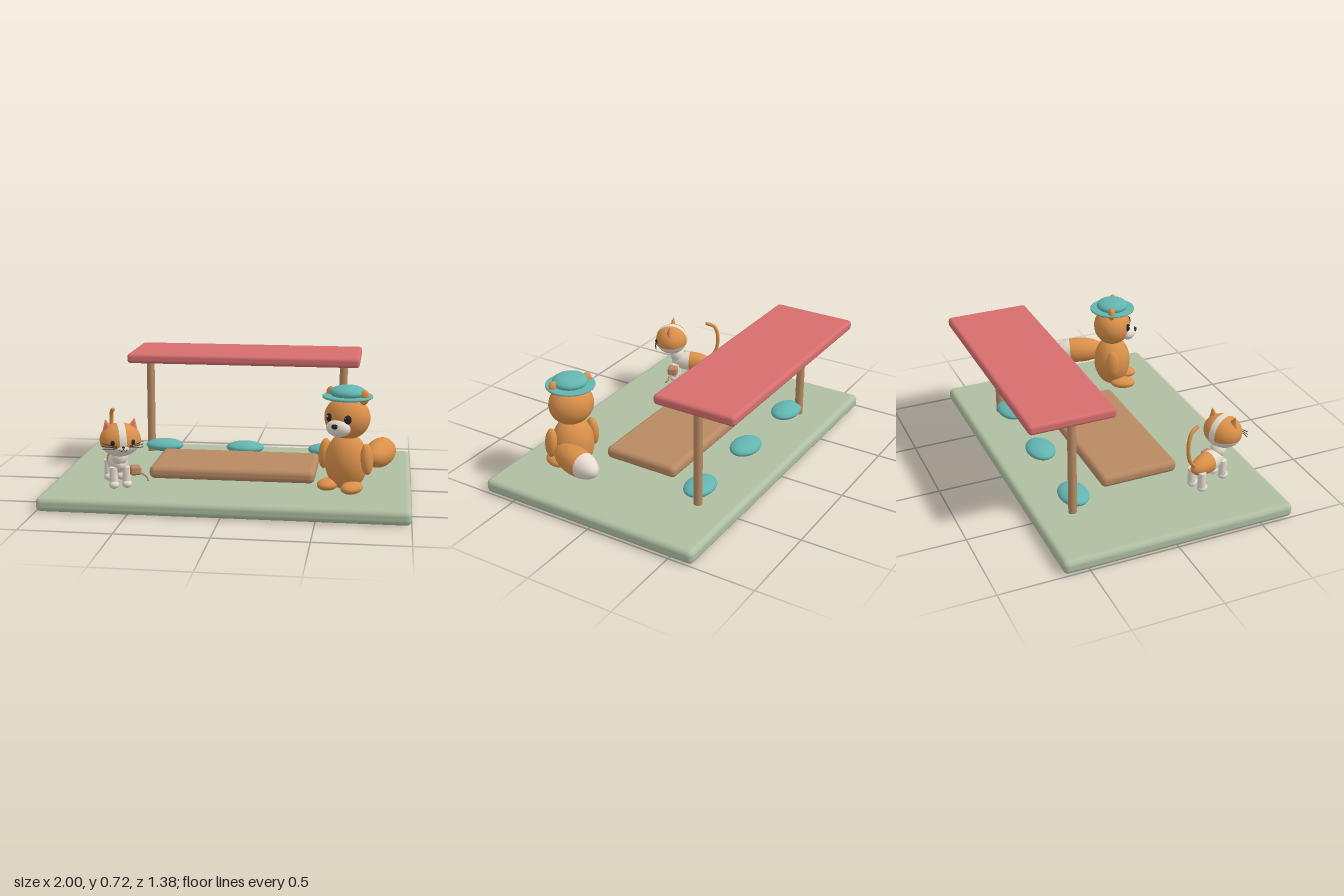
import * as THREE from 'three';
import { RoundedBoxGeometry } from 'three/addons/geometries/RoundedBoxGeometry.js';

const paint = (name, color) => {
  const m = new THREE.MeshStandardMaterial({ color });
  m.name = name;
  return m;
};

export function createModel() {
  const sage = paint('sage', 0xafbfa2), red = paint('red', 0xd66e6e), wood = paint('wood', 0xb98a63);
  const teal = paint('teal', 0x62b5b0), orange = paint('orange', 0xda9049);
  const cream = paint('cream', 0xe5dccf), dark = paint('dark', 0x25252b);

  const add = (parent, name, geo, mat, pos = [0, 0, 0], rot = [0, 0, 0]) => {
    const m = new THREE.Mesh(geo, mat);
    m.name = name;
    m.position.set(...pos);
    m.rotation.set(...rot);
    parent.add(m);
    return m;
  };
  const slab = (parent, name, mat, size, r, pos, rot) =>
    add(parent, name, new RoundedBoxGeometry(...size, 4, r), mat, pos, rot);
  // Ellipsoid, optionally cut between two polar angles
  const ball = (parent, name, mat, pos, radii, rot, t0 = 0, t1 = Math.PI) => {
    const m = add(parent, name, new THREE.SphereGeometry(1, 32, 20, 0, Math.PI * 2, t0, t1 - t0), mat, pos, rot);
    m.scale.set(...radii);
    return m;
  };
  const tube = (parent, name, mat, pts, r) => {
    const path = new THREE.CatmullRomCurve3(pts.map(p => new THREE.Vector3(...p)));
    add(parent, name, new THREE.TubeGeometry(path, 28, r, 10), mat);
    for (const p of [pts[0], pts[pts.length - 1]]) ball(parent, name + 'End', mat, p, [r, r, r]);
  };
  const group = (parent, name, pos, yaw) => {
    const g = new THREE.Group();
    g.name = name;
    g.position.set(...pos);
    g.rotation.y = yaw;
    parent.add(g);
    return g;
  };

  const model = new THREE.Group();
  model.name = 'picnicScene';

  // Ground, table and shelter
  slab(model, 'ground', sage, [2, 0.08, 1.33], 0.03, [0, 0.04, 0.025]);
  slab(model, 'lowTable', wood, [0.935, 0.073, 0.455], 0.03, [0, 0.122, 0.025]);
  slab(model, 'roof', red, [1.38, 0.058, 0.48], 0.02, [0, 0.691, -0.455]);
  for (const s of [-1, 1]) {
    add(model, 'post', new THREE.CylinderGeometry(0.024, 0.024, 0.57, 24), wood, [s * 0.59, 0.363, -0.43]);
  }
  for (const x of [-0.5, 0, 0.5]) ball(model, 'cushion', teal, [x, 0.13, -0.39], [0.115, 0.037, 0.082]);

  // Cat
  const cat = group(model, 'cat', [-0.608, 0, 0.392], 0.4);
  const along = [Math.PI / 2, 0, 0];
  ball(cat, 'catChest', cream, [0, 0.215, -0.04], [0.055, 0.125, 0.06], along, 0, 1.5);
  ball(cat, 'catRump', orange, [0, 0.215, -0.04], [0.055, 0.125, 0.06], along, 1.5, Math.PI);
  ball(cat, 'catNeck', cream, [0, 0.26, 0.05], [0.045, 0.05, 0.045]);
  for (const s of [-1, 1]) for (const z of [-0.125, 0.055]) {
    add(cat, 'catLeg', new THREE.CylinderGeometry(0.022, 0.023, 0.1, 16), cream, [s * 0.036, 0.152, z]);
    ball(cat, 'catPaw', cream, [s * 0.036, 0.105, z + 0.006], [0.027, 0.023, 0.031]);
  }
  tube(cat, 'catTail', orange,
    [[0, 0.23, -0.145], [0, 0.3, -0.195], [0, 0.4, -0.208], [0, 0.465, -0.185], [0, 0.482, -0.14]], 0.011);

  // Cat head: coloured cap, pale jaw and a pale stripe over the crown
  const head = group(cat, 'catHead', [0, 0.363, 0.085], 0);
  ball(head, 'catCap', orange, [0, 0, 0], [0.112, 0.092, 0.098], [0, 0, 0], 0, 1.87);
  ball(head, 'catJaw', cream, [0, 0, 0], [0.112, 0.092, 0.098], [0, 0, 0], 1.87, Math.PI);
  const band = new THREE.SphereGeometry(1, 40, 4, 1.27, 3.75, Math.PI / 2 - 0.17, 0.34);
  band.rotateZ(Math.PI / 2);
  band.scale(0.114, 0.094, 0.1);
  add(head, 'catStripe', band, cream);
  ball(head, 'catMuzzle', cream, [0, -0.034, 0.083], [0.034, 0.02, 0.02]);
  ball(head, 'catNose', dark, [0, -0.022, 0.102], [0.009, 0.006, 0.006]);
  for (const s of [-1, 1]) {
    const ear = group(head, 'catEar', [s * 0.072, 0.082, 0], 0);
    ear.rotation.z = -s * 0.25;
    const outer = add(ear, 'earOuter', new THREE.ConeGeometry(0.036, 0.07, 20), orange);
    outer.scale.z = 0.5;
    const inner = add(ear, 'earInner', new THREE.ConeGeometry(0.026, 0.052, 20), red, [0, -0.004, 0.008]);
    inner.scale.z = 0.5;
    ball(head, 'catEye', dark, [s * 0.055, 0, 0.084], [0.012, 0.015, 0.007], [0, s * 0.45, 0]);
    tube(head, 'catMouth', dark, [[0, -0.03, 0.103], [s * 0.01, -0.043, 0.099], [s * 0.021, -0.037, 0.098]], 0.002);
    for (const k of [-1, 0, 1]) {
      tube(head, 'whisker', dark,
        [[s * 0.035, -0.022 + k * 0.006, 0.094], [s * 0.075, -0.018 + k * 0.011, 0.092], [s * 0.11, -0.014 + k * 0.016, 0.08]], 0.0017);
    }
  }

  // Satchel at the cat's side with a loose strap
  slab(cat, 'satchel', wood, [0.062, 0.052, 0.062], 0.015, [0.082, 0.181, 0.065]);
  tube(cat, 'satchelStrap', wood, [[0.1, 0.165, 0.07], [0.125, 0.158, 0.08], [0.145, 0.138, 0.088], [0.148, 0.126, 0.1]], 0.005);

  // Round animal with a sun hat
  const friend = group(model, 'hatAnimal', [0.645, 0, 0.342], -0.45);
  ball(friend, 'body', orange, [0, 0.25, 0], [0.118, 0.158, 0.112]);
  ball(friend, 'head', orange, [0, 0.493, 0], [0.127, 0.117, 0.113]);
  ball(friend, 'muzzle', cream, [0, 0.452, 0.098], [0.07, 0.047, 0.047]);
  ball(friend, 'nose', dark, [0, 0.467, 0.141], [0.018, 0.014, 0.012]);
  for (const s of [-1, 1]) {
    ball(friend, 'eye', dark, [s * 0.056, 0.503, 0.098], [0.02, 0.024, 0.014], [0, s * 0.45, 0]);
    ball(friend, 'eyeGlint', cream, [s * 0.056 - 0.006, 0.512, 0.109], [0.004, 0.004, 0.004]);
    ball(friend, 'ear', orange, [s * 0.098, 0.612, 0], [0.03, 0.041, 0.022], [0, 0, -s * 0.2]);
    ball(friend, 'arm', orange, [s * 0.128, 0.28, 0.01], [0.032, 0.085, 0.042], [0, 0, s * 0.08]);
    ball(friend, 'foot', orange, [s * 0.072, 0.128, 0.07], [0.054, 0.033, 0.078]);
  }

  // Bushy tail with a pale tip, pointing backwards
  const tail = group(model, 'bushyTail', [0.825, 0.267, 0.187], -0.28);
  const back = [-Math.PI / 2, 0, 0];
  ball(tail, 'tailTip', cream, [0, 0, 0], [0.077, 0.168, 0.078], back, 0, 1.2);
  ball(tail, 'tailFur', orange, [0, 0, 0], [0.077, 0.168, 0.078], back, 1.2, Math.PI);

  // Hat
  add(friend, 'hatBrim', new THREE.CylinderGeometry(0.131, 0.131, 0.012, 48), teal, [0, 0.608, 0]);
  const rim = add(friend, 'hatRim', new THREE.TorusGeometry(0.129, 0.007, 10, 48), teal, [0, 0.608, 0]);
  rim.rotation.x = Math.PI / 2;
  ball(friend, 'hatCrown', teal, [0, 0.63, 0], [0.097, 0.04, 0.095]);

  return model;
}
